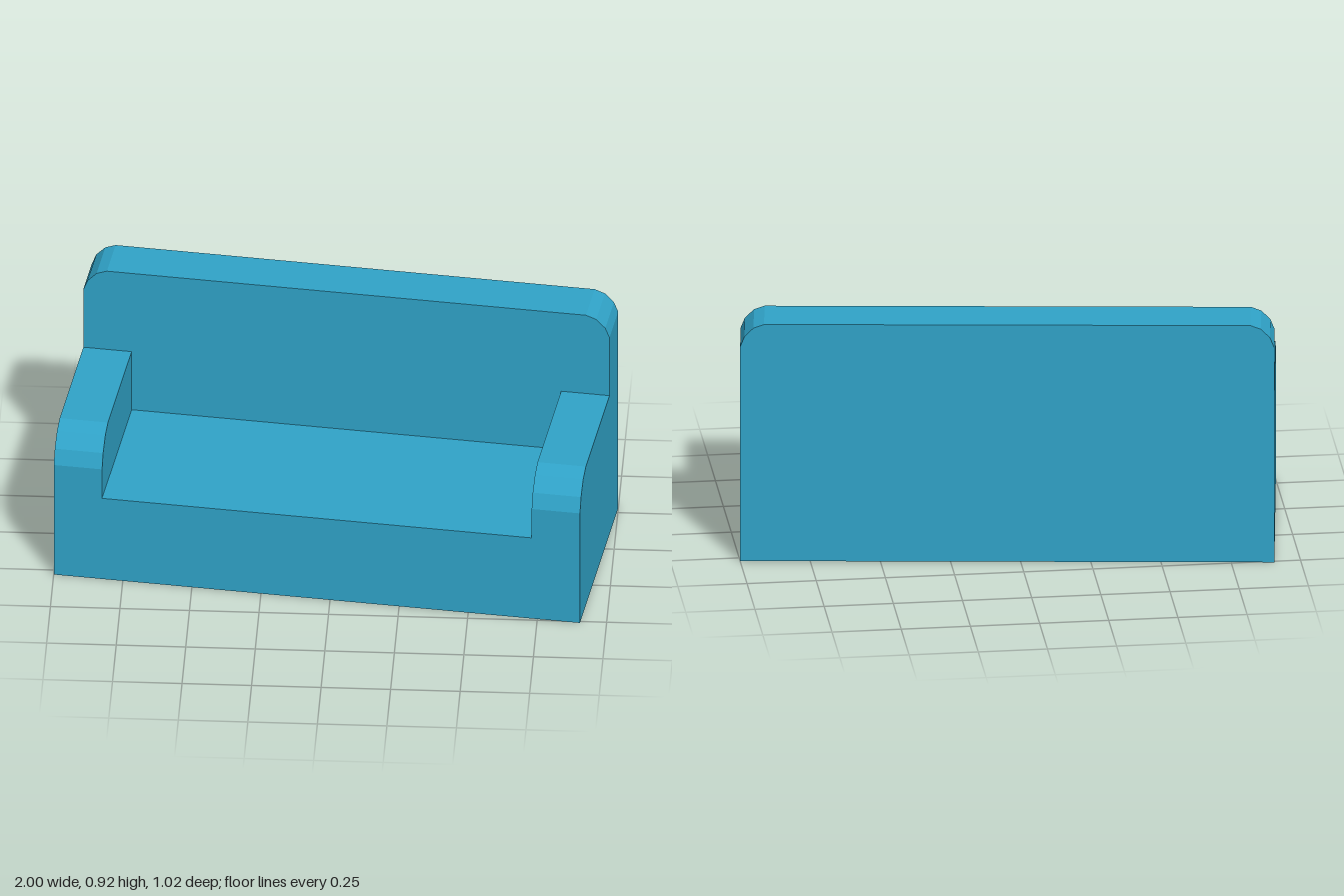
import * as THREE from 'three';

const WIDTH = 1.918, DEPTH = 0.796;
const BACK_T = 0.181, ARM_W = 0.176;
const SEAT_H = 0.34, ARM_H = 0.585, BACK_H = 0.915;

// Faceted quarter-round: fractions of the radius (inset, rise)
const CORNER = [[0, 0], [0.18, 0.45], [0.56, 0.84], [1, 1]];

// Upright panel from x0 to x1 with softened top corners, extruded by depth
function panel(x0, x1, height, radius, depth, roundLeft) {
  const pts = [[x0, 0], [x1, 0]];
  for (const [i, r] of CORNER) pts.push([x1 - i * radius, height - radius + r * radius]);
  if (roundLeft) {
    for (const [i, r] of [...CORNER].reverse()) pts.push([x0 + i * radius, height - radius + r * radius]);
  } else {
    pts.push([x0, height]);
  }
  const shape = new THREE.Shape(pts.map(([x, y]) => new THREE.Vector2(x, y)));
  return new THREE.ExtrudeGeometry(shape, { depth, bevelEnabled: false });
}

export function createModel() {
  const model = new THREE.Group();
  model.name = 'sofa';
  const fabric = new THREE.MeshStandardMaterial({ color: 0x30a3c8, flatShading: true });
  fabric.name = 'blue fabric';

  // The sofa stands slightly turned
  const body = new THREE.Group();
  body.name = 'sofaBody';
  body.rotation.y = -0.12;
  model.add(body);

  const add = (name, geometry, x, y, z) => {
    const mesh = new THREE.Mesh(geometry, fabric);
    mesh.name = name;
    mesh.position.set(x, y, z);
    body.add(mesh);
  };

  const front = DEPTH / 2, seatBack = -DEPTH / 2 + BACK_T;

  // Backrest reaching down to the floor
  add('backrest', panel(-WIDTH / 2, WIDTH / 2, BACK_H, 0.086, BACK_T, true), 0, 0, -DEPTH / 2);

  // Seat block between the arms
  add('seat', new THREE.BoxGeometry(WIDTH - 2 * ARM_W, SEAT_H, front - seatBack),
    0, SEAT_H / 2, (front + seatBack) / 2);

  // Arms with rounded fronts
  for (const side of [-1, 1]) {
    const arm = panel(seatBack, front, ARM_H, 0.123, ARM_W, false);
    arm.rotateY(-Math.PI / 2);
    add(side > 0 ? 'leftArm' : 'rightArm', arm, side > 0 ? WIDTH / 2 : -WIDTH / 2 + ARM_W, 0, 0);
  }

  return model;
}
